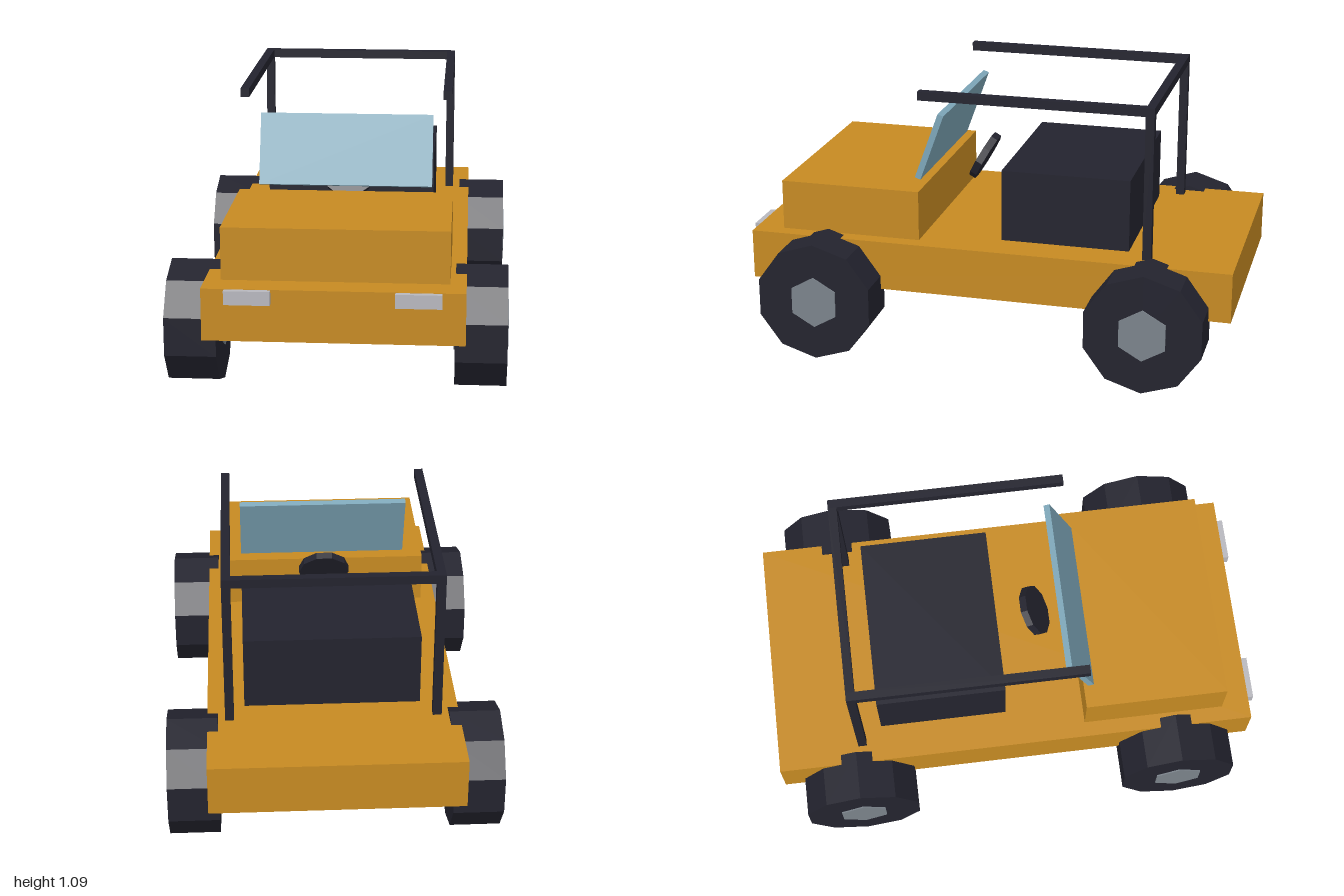
import * as THREE from 'three';

const paint = (name, color) => {
  const m = new THREE.MeshStandardMaterial({ color, flatShading: true });
  m.name = name;
  return m;
};

export function createModel() {
  const model = new THREE.Group();
  model.name = 'offRoadCar';

  const ochre = paint('ochrePaint', 0xc68a22);
  const dark = paint('darkRubber', 0x23232e);
  const glass = paint('blueGlass', 0x7da6b8);
  const steel = paint('hubSteel', 0x7b838b);
  const lamp = paint('lampGrey', 0xb8b8be);

  const add = (name, geometry, material, x, y, z, parent = model) => {
    const mesh = new THREE.Mesh(geometry, material);
    mesh.name = name;
    mesh.position.set(x, y, z);
    parent.add(mesh);
    return mesh;
  };

  // Box given by its lower and upper corners
  const box = (name, material, [x0, y0, z0], [x1, y1, z1]) =>
    add(name, new THREE.BoxGeometry(x1 - x0, y1 - y0, z1 - z0), material,
      (x0 + x1) / 2, (y0 + y1) / 2, (z0 + z1) / 2);

  // Body, bonnet and seat block
  box('body', ochre, [-0.494, 0.264, -1], [0.494, 0.467, 0.977]);
  box('bonnet', ochre, [-0.433, 0.467, 0.281], [0.433, 0.672, 0.862]);
  box('seat', dark, [-0.348, 0.467, -0.566], [0.348, 0.762, -0.042]);

  // Windscreen leaning back
  const screen = add('windscreen', new THREE.BoxGeometry(0.697, 0.291, 0.025), glass, 0, 0.837, 0.259);
  screen.rotation.x = -0.35;

  // Steering wheel: a ten-sided disc with corners pointing sideways
  const disc = new THREE.CylinderGeometry(0.105, 0.105, 0.03, 10).rotateY(Math.PI / 2);
  add('steeringWheel', disc, dark, 0, 0.706, 0.12).rotation.x = 1.07;

  // Roll cage: cross bar, with a post and a forward rail on each side
  const bar = 0.035, out = 0.424, top = 1.087, back = -0.668;
  const inn = out - bar;
  box('rollCageCrossBar', dark, [-inn, top - bar, back], [inn, top, back + bar]);
  for (const [side, s] of [['left', 1], ['right', -1]]) {
    const x0 = s > 0 ? inn : -out, x1 = x0 + bar;
    box(side + 'RollCagePost', dark, [x0, 0.467, back], [x1, top - bar, back + bar]);
    box(side + 'RollCageRail', dark, [x0, top - bar, back], [x1, top, 0.281]);

    // Headlight
    const l0 = s > 0 ? 0.232 : -0.406;
    box(side + 'Headlight', lamp, [l0, 0.412, 0.977], [l0 + 0.174, 0.466, 1]);
  }

  // Wheels: ten-sided tyres with six-sided hubs, a corner pointing up
  const axle = (radius, width, sides) =>
    new THREE.CylinderGeometry(radius, radius, width, sides).rotateZ(Math.PI / 2).rotateX(Math.PI / 2);
  const tyre = axle(0.244, 0.199, 10);
  const hub = axle(0.106, 0.21, 6);
  for (const [end, z] of [['front', 0.66], ['rear', -0.68]]) {
    for (const [side, s] of [['Left', 1], ['Right', -1]]) {
      const wheel = new THREE.Group();
      wheel.name = end + side + 'Wheel';
      wheel.position.set(s * 0.552, 0.244, z);
      add('tyre', tyre, dark, 0, 0, 0, wheel);
      add('hub', hub, steel, 0, 0, 0, wheel);
      model.add(wheel);
    }
  }

  return model;
}
